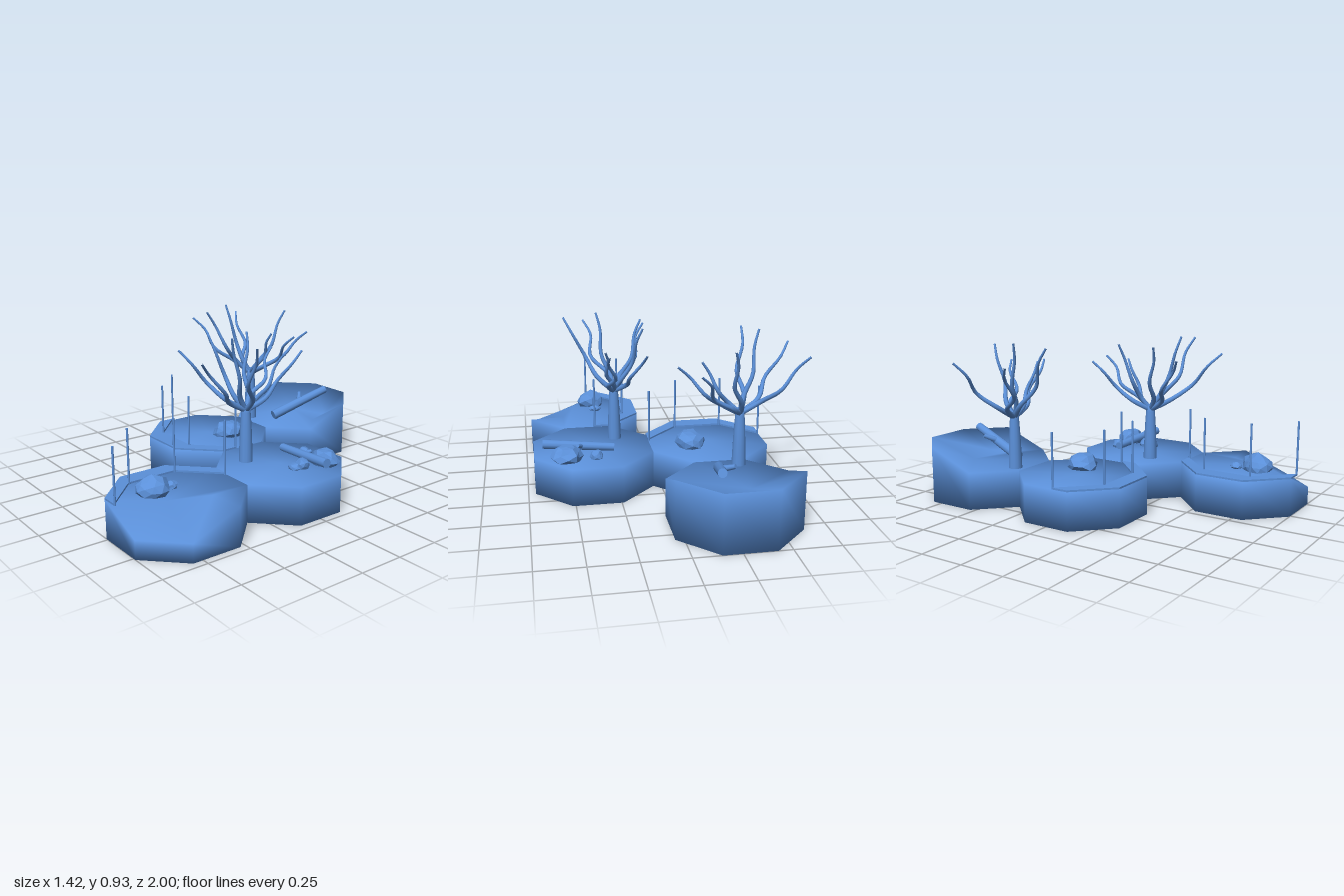
import * as THREE from 'three';
import { mergeVertices } from 'three/addons/utils/BufferGeometryUtils.js';

const smooth = new THREE.MeshStandardMaterial({ color: 0x5b90d9 });
const faceted = new THREE.MeshStandardMaterial({ color: 0x5b90d9, flatShading: true });
const V = (x, y, z) => new THREE.Vector3(x, y, z);
const GROUND = 0.21;

let seed = 7;
const rand = () => (seed = (seed * 16807) % 2147483647) / 2147483647;

function add(parent, name, geometry, material) {
  const mesh = new THREE.Mesh(geometry, material);
  mesh.name = name;
  parent.add(mesh);
  return mesh;
}

// Octagonal block: rim heights, inner ground points, and triangle fans [hub, ...ring] for the top
function platform(parent, name, cx, cz, rim, inner, fans) {
  const pos = [], index = [];
  const corner = (i, y) => {
    const a = (i + 0.5) * Math.PI / 4;
    pos.push(0.3605 * Math.cos(a), y, 0.3605 * Math.sin(a));
  };
  for (let i = 0; i < 8; i++) corner(i, rim[i]);
  inner.forEach(([x, z]) => pos.push(x, GROUND, z));
  const low = 8 + inner.length;
  for (let i = 0; i < 8; i++) corner(i, 0);
  pos.push(0, 0, 0);
  for (const [hub, ...ring] of fans)
    for (let i = 0; i < ring.length - 1; i++) index.push(hub, ring[i + 1], ring[i]);
  for (let i = 0; i < 8; i++) {
    const j = (i + 1) % 8;
    index.push(i, j, low + i, j, low + j, low + i);
    index.push(low + 8, low + i, low + j);
  }
  const g = new THREE.BufferGeometry();
  g.setAttribute('position', new THREE.Float32BufferAttribute(pos, 3));
  g.setIndex(index);
  g.computeVertexNormals();
  add(parent, name, g, smooth).position.set(cx, 0, cz);
}

// Raised kerb along three sides, with thin posts at its inner corners
function kerb(parent, cx, cz, turn) {
  const group = new THREE.Group();
  group.name = 'fencedKerb';
  const inner = [[0.333, 0.046], [0.14, 0.238], [-0.14, 0.238], [-0.333, 0.046]];
  const outer = [[-0.333, 0.138], [-0.138, 0.333], [0.138, 0.333], [0.333, 0.138]];
  const shape = new THREE.Shape([...inner, ...outer].map(([x, z]) => new THREE.Vector2(x, -z)));
  const g = new THREE.ExtrudeGeometry(shape, { depth: 0.01, bevelEnabled: false });
  g.rotateX(-Math.PI / 2);
  add(group, 'kerb', g, smooth).position.y = GROUND;
  for (const [x, z] of inner)
    add(group, 'post', new THREE.CylinderGeometry(0.006, 0.006, 0.3, 8), smooth)
      .position.set(x * 0.985, GROUND + 0.15, z);
  group.position.set(cx, 0, cz);
  group.rotation.y = turn;
  parent.add(group);
}

// Tube that narrows from r0 to r1
function taperedTube(points, r0, r1, steps, sides) {
  const curve = new THREE.CatmullRomCurve3(points);
  const g = new THREE.TubeGeometry(curve, steps, 1, sides, false);
  const p = g.attributes.position, v = V(0, 0, 0);
  for (let i = 0; i < p.count; i++) {
    const t = Math.floor(i / (sides + 1)) / steps;
    const c = curve.getPointAt(t);
    v.fromBufferAttribute(p, i).sub(c).multiplyScalar(r0 + (r1 - r0) * t).add(c);
    p.setXYZ(i, v.x, v.y, v.z);
  }
  return g;
}

// Bare tree: flared trunk with branches that sweep out, then up to the given tips
function tree(parent, name, x, z, tips) {
  const group = new THREE.Group();
  group.name = name;
  const profile = [[0.039, 0.2], [0.036, 0.3], [0.032, 0.4], [0.026, 0.49], [0.023, 0.52], [0, 0.54]];
  const trunk = new THREE.LatheGeometry(profile.map(([r, y]) => new THREE.Vector2(r, y)), 12);
  add(group, 'trunk', trunk, smooth).position.set(x, 0, z);
  tips.forEach(([tx, ty, tz], i) => {
    const at = (out, up, sway) => V(
      x + (tx - x) * out - (tz - z) * sway,
      0.5 + (ty - 0.5) * up,
      z + (tz - z) * out + (tx - x) * sway);
    const s = i % 2 ? 0.07 : -0.07;
    const path = [at(0, 0, 0), at(0.3, 0.2, s), at(0.6, 0.46, -s), at(0.8, 0.78, s / 2), at(1, 1, 0)];
    add(group, 'branch', taperedTube(path, 0.016, 0.006, 16, 7), smooth);
  });
  parent.add(group);
}

// Rough faceted boulder sitting on the ground
function rock(parent, x, z, rx, h, rz) {
  let g = new THREE.IcosahedronGeometry(1, 1);
  g.deleteAttribute('normal');
  g.deleteAttribute('uv');
  g = mergeVertices(g);
  const p = g.attributes.position;
  for (let i = 0; i < p.count; i++) {
    const k = 0.82 + 0.28 * rand();
    p.setXYZ(i, p.getX(i) * k * rx, Math.max(p.getY(i) * k, -0.4) * h * 0.7, p.getZ(i) * k * rz);
  }
  g.computeVertexNormals();
  add(parent, 'rock', g, faceted).position.set(x, GROUND + h * 0.28, z);
}

function log(parent, name, a, b, r0, r1) {
  const d = b.clone().sub(a);
  const mesh = add(parent, name, new THREE.CylinderGeometry(r1, r0, d.length(), 10), smooth);
  mesh.position.copy(a).addScaledVector(d, 0.5);
  mesh.quaternion.setFromUnitVectors(V(0, 1, 0), d.normalize());
}

export function createModel() {
  const model = new THREE.Group();
  model.name = 'terrain';
  const G = GROUND, H = 0.32, L = 0.1;
  const flat = Array(8).fill(G), round = [[8, 0, 1, 2, 3, 4, 5, 6, 7, 0]];

  // Ground blocks: one rises at the back, two are level, one dips at a front corner
  platform(model, 'risingPlatform', -0.287, -0.667, [G, G, G, G, H, H, H, H],
    [[-0.07, -0.06], [0.16, -0.14], [0.2, 0]],
    [[8, 10, 0, 1, 2, 3, 4, 5, 9, 10], [9, 5, 6, 7, 10], [10, 7, 0]]);
  platform(model, 'kerbedPlatform', -0.287, 0, flat, [[0, 0]], round);
  platform(model, 'rockyPlatform', 0.377, 0, flat, [[0, 0]], round);
  platform(model, 'dippingPlatform', 0.377, 0.667, [L, L, G, G, G, G, G, G],
    [[0.135, -0.12], [0.055, 0.1]],
    [[9, 1, 2, 3, 4, 5, 6, 8, 0, 1], [8, 6, 7, 0]]);

  kerb(model, -0.287, 0, 0);
  kerb(model, 0.377, 0.667, -Math.PI / 2);

  tree(model, 'backTree', -0.38, -0.395, [
    [-0.71, 0.83, -0.53], [-0.7, 0.83, -0.18], [-0.5, 0.93, -0.29], [-0.45, 0.91, -0.11],
    [-0.295, 0.89, -0.6], [-0.17, 0.79, -0.39], [-0.115, 0.78, -0.63], [-0.03, 0.785, -0.45]]);
  tree(model, 'frontTree', 0.235, 0.125, [
    [0.02, 0.83, 0.41], [0.375, 0.84, 0.51], [0.505, 0.91, 0.27], [0.315, 0.93, 0.28],
    [0.06, 0.89, 0.24], [0.08, 0.89, 0], [0.08, 0.78, -0.18], [0.29, 0.79, -0.22],
    [0.3, 0.78, -0.07]]);

  // Boulders: x, z, half width, height, half depth
  [[-0.18, -0.07, 0.085, 0.09, 0.095], [0.315, 0.775, 0.085, 0.1, 0.09], [0.3, 0.655, 0.036, 0.035, 0.036],
    [0.53, -0.19, 0.088, 0.09, 0.07], [0.37, -0.185, 0.037, 0.05, 0.037],
    [0.5, -0.05, 0.05, 0.06, 0.045], [0.49, -0.01, 0.04, 0.035, 0.035]].forEach(r => rock(model, ...r));

  // Fallen logs, each with a broken stub
  log(model, 'leaningLog', V(-0.25, 0.235, -0.48), V(-0.175, 0.36, -0.85), 0.03, 0.024);
  log(model, 'logStub', V(-0.21, 0.3, -0.66), V(-0.275, 0.335, -0.72), 0.018, 0.012);
  log(model, 'fallenLog', V(0.265, 0.245, -0.115), V(0.66, 0.273, -0.08), 0.022, 0.026);
  log(model, 'logStub', V(0.44, 0.255, -0.1), V(0.47, 0.275, -0.145), 0.014, 0.01);
  return model;
}
